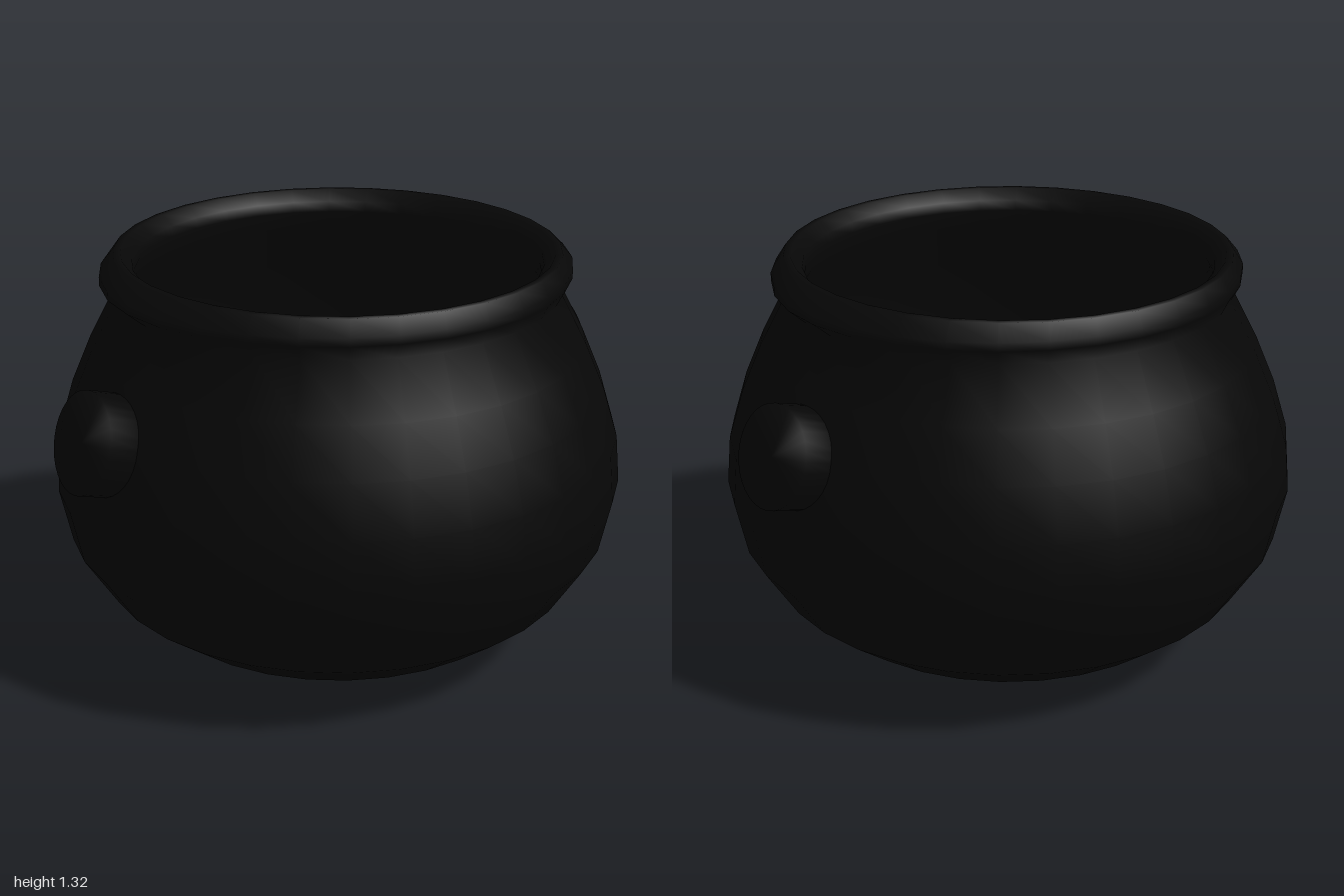
import * as THREE from 'three';
import { mergeVertices } from 'three/addons/utils/BufferGeometryUtils.js';

const iron = new THREE.MeshStandardMaterial({ color: 0x070707 });
iron.name = 'black iron';

// Share vertices so the shading runs smoothly over every edge
function smooth(geometry) {
  geometry.deleteAttribute('normal');
  geometry.deleteAttribute('uv');
  const merged = mergeVertices(geometry);
  merged.computeVertexNormals();
  return merged;
}

// Pot profile as [radius, height]: up the outside, over the rim, down the inside
const outerWall = [
  [0, 0], [0.16, 0.001], [0.33, 0.014], [0.49, 0.045], [0.65, 0.11], [0.79, 0.22],
  [0.893, 0.385], [0.93, 0.565], [0.915, 0.72], [0.865, 0.88], [0.8, 1.03],
];
const rim = [
  [0.713, 1.195], [0.736, 1.245], [0.736, 1.272], [0.713, 1.32], [0.69, 1.32],
  [0.655, 1.285], [0.65, 1.25],
];
const innerWall = [
  [0.665, 1.19], [0.74, 1.03], [0.79, 0.88], [0.82, 0.72], [0.82, 0.57], [0.77, 0.41],
  [0.67, 0.27], [0.53, 0.17], [0.36, 0.11], [0.18, 0.08], [0, 0.075],
];

function createPot() {
  const profile = [...outerWall, ...rim, ...innerWall].map(([r, y]) => new THREE.Vector2(r, y));
  const geometry = new THREE.LatheGeometry(profile, 32);
  // The outer edge of the rim bulges further above the lugs
  const pos = geometry.attributes.position;
  for (let i = 0; i < pos.count; i++) {
    const x = pos.getX(i), y = pos.getY(i), z = pos.getZ(i);
    const r = Math.hypot(x, z);
    if (y > 1.24 && y < 1.28 && r > 0.7) {
      const k = 1 + 0.05 * (x / r) ** 4;
      pos.setXYZ(i, x * k, y, z * k);
    }
  }
  const pot = new THREE.Mesh(smooth(geometry), iron);
  pot.name = 'pot';
  return pot;
}

// Tilted round lug on one side
function createLug(side) {
  const length = 0.13, tilt = 0.315;
  const lug = new THREE.Mesh(smooth(new THREE.CylinderGeometry(0.16, 0.16, length, 32)), iron);
  lug.name = side > 0 ? 'leftLug' : 'rightLug';
  lug.rotation.z = side * (tilt - Math.PI / 2);
  lug.position.set(
    side * (0.95 - Math.cos(tilt) * length / 2),
    0.878 - Math.sin(tilt) * length / 2, 0);
  return lug;
}

export function createModel() {
  const model = new THREE.Group();
  model.name = 'cauldron';
  model.add(createPot(), createLug(1), createLug(-1));
  return model;
}
